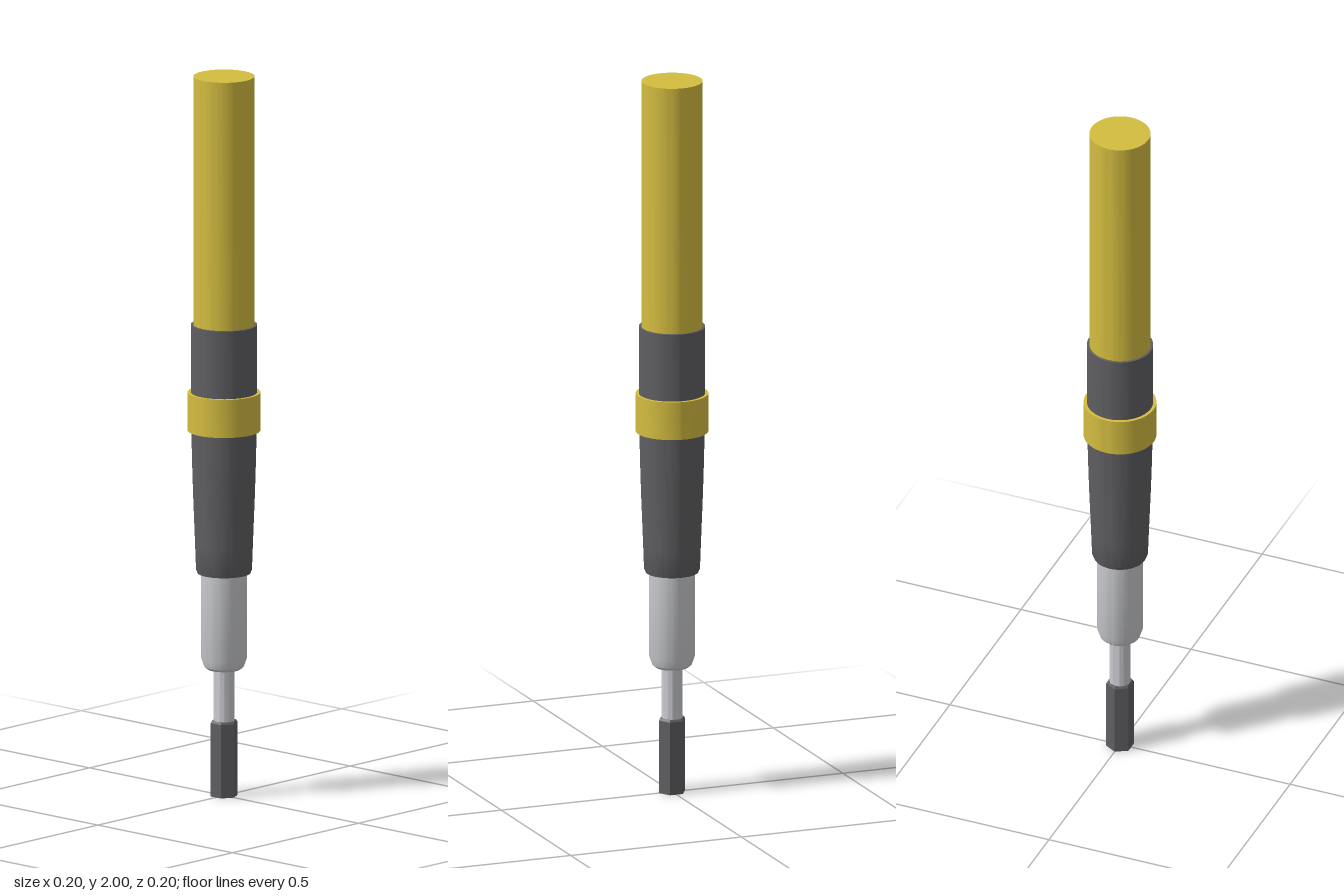
import * as THREE from 'three';
import { toCreasedNormals } from 'three/addons/utils/BufferGeometryUtils.js';

export function createModel() {
  const model = new THREE.Group();
  model.name = 'screwdriver';

  const material = (name, color) => {
    const m = new THREE.MeshStandardMaterial({ color });
    m.name = name;
    return m;
  };
  const yellow = material('yellow', 0xd4bd40);
  const darkGrey = material('dark grey', 0x5f5e61);
  const silver = material('silver', 0xcbccd0);

  const add = (name, geometry, mat) => {
    const mesh = new THREE.Mesh(geometry, mat);
    mesh.name = name;
    model.add(mesh);
    return mesh;
  };

  // Turned part from a [radius, height] profile, bottom to top, with sharp rims
  const turned = (name, profile, mat) => {
    const points = profile.map(([r, y]) => new THREE.Vector2(r, y));
    return add(name, toCreasedNormals(new THREE.LatheGeometry(points, 64), 0.5), mat);
  };

  // Handle, grip sleeve and collar
  turned('handle', [[0, 1.3], [0.083, 1.3], [0.083, 2], [0, 2]], yellow);
  turned('gripSleeve', [
    [0, 0.62], [0.072, 0.62], [0.076, 0.63], [0.0785, 0.7], [0.084, 0.84],
    [0.087, 0.94], [0.089, 1.04], [0.09, 1.1], [0.09, 1.31], [0, 1.31],
  ], darkGrey);
  turned('collar', [[0.085, 1.016], [0.099, 1.016], [0.099, 1.122], [0.085, 1.122]], yellow);

  // Metal barrel with a chamfered nose, and the thin shaft
  turned('barrel', [
    [0, 0.353], [0.046, 0.353], [0.054, 0.36], [0.062, 0.383], [0.062, 0.63], [0, 0.63],
  ], silver);
  turned('shaft', [[0, 0.2], [0.029, 0.2], [0.029, 0.36], [0, 0.36]], silver);

  // Hexagonal bit with corners on the x axis and a slight top chamfer
  const bitPoints = [[0, 0], [0.038, 0], [0.038, 0.204], [0.034, 0.21], [0, 0.21]]
    .map(([r, y]) => new THREE.Vector2(r, y));
  const bit = toCreasedNormals(new THREE.LatheGeometry(bitPoints, 6, Math.PI / 2), 0.3);
  add('hexBit', bit, darkGrey);

  return model;
}
